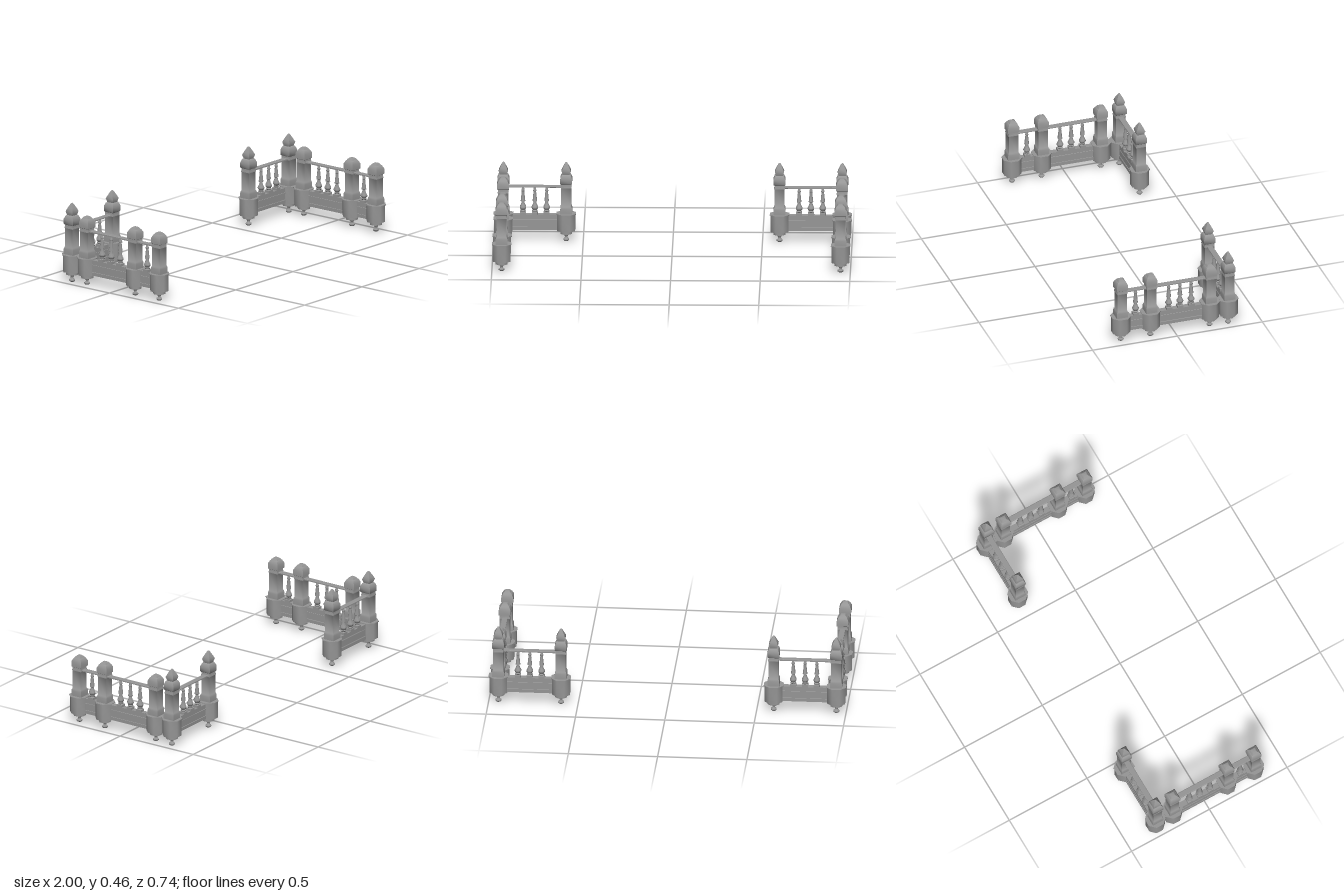
import * as THREE from 'three';
import { toCreasedNormals } from 'three/addons/utils/BufferGeometryUtils.js';

const material = new THREE.MeshStandardMaterial({ color: 0x969696, side: THREE.DoubleSide });

// Stacked polygon rings: profile is [half width across flats, height], bottom to top
function turned(name, profile, sides) {
  const k = 1 / Math.cos(Math.PI / sides);
  const points = profile.map(([r, y]) => new THREE.Vector2(r * k, y));
  const geometry = new THREE.LatheGeometry(points, sides, Math.PI / sides);
  const mesh = new THREE.Mesh(toCreasedNormals(geometry, 0.85), material);
  mesh.name = name;
  return mesh;
}

// Symmetric profile of [half thickness, height], run along local z
function moulding(name, profile, length) {
  const shape = new THREE.Shape([
    ...profile.map(([r, y]) => new THREE.Vector2(r, y)),
    ...profile.slice().reverse().map(([r, y]) => new THREE.Vector2(-r, y)),
  ]);
  const geometry = new THREE.ExtrudeGeometry(shape, { depth: length, bevelEnabled: false });
  geometry.translate(0, 0, -length / 2);
  const mesh = new THREE.Mesh(geometry, material);
  mesh.name = name;
  return mesh;
}

function makePost(pointed) {
  const post = new THREE.Group();
  post.name = pointed ? 'finialPost' : 'domedPost';
  const low = pointed ? 0 : 0.003;
  post.add(turned('dropKnob', [[0, low], [0.01, low], [0.016, low + 0.006], [0.016, low + 0.011],
    [0.008, 0.019], [0.007, 0.026], [0.014, 0.038], [0.015, 0.043]], 8));
  post.add(turned('footBlock', [[0, 0.042], [0.033, 0.042], [0.033, 0.062]], 8));
  post.add(turned('base', [[0, 0.06], [0.05, 0.06], [0.05, 0.155], [0.0545, 0.156],
    [0.0545, 0.16], [0, 0.16]], 8));
  // Square shaft with plinth and collar
  post.add(turned('shaft', [[0.033, 0.159], [0.033, 0.19], [0.03, 0.201], [0.028, 0.203],
    [0.028, 0.308], [0.0295, 0.31], [0.0295, 0.317], [0.028, 0.319], [0.028, 0.333]], 4));
  if (pointed) {
    post.add(turned('cap', [[0.028, 0.33], [0.033, 0.335], [0.033, 0.364], [0.026, 0.382],
      [0.022, 0.386], [0, 0.386]], 4));
    post.add(turned('finial', [[0.019, 0.385], [0.026, 0.407], [0.018, 0.426], [0.008, 0.446],
      [0.004, 0.453], [0, 0.456]], 4));
  } else {
    post.add(turned('cap', [[0.028, 0.33], [0.033, 0.333], [0.033, 0.364], [0.024, 0.382],
      [0.021, 0.384], [0.018, 0.39], [0.01, 0.397], [0, 0.399]], 4));
  }
  return post;
}

function makeBaluster() {
  const baluster = new THREE.Group();
  baluster.name = 'baluster';
  baluster.add(turned('balusterFoot', [[0.0165, 0.152], [0.0165, 0.167], [0.01, 0.171], [0, 0.171]], 4));
  baluster.add(turned('balusterStem', [[0.012, 0.169], [0.015, 0.175], [0.011, 0.179], [0.018, 0.19],
    [0.018, 0.196], [0.0115, 0.21], [0.008, 0.223], [0.008, 0.227], [0.013, 0.23], [0.012, 0.236],
    [0.007, 0.285], [0.0095, 0.29], [0.0075, 0.296], [0.006, 0.31], [0, 0.31]], 8));
  return baluster;
}

// Panel, handrail and balusters between two posts, centred on local z = 0
function makeSpan(name, distance, offsets) {
  const span = new THREE.Group();
  span.name = name;
  span.add(moulding('lowerPanel', [[0.018, 0.066], [0.018, 0.085], [0.015, 0.086], [0.015, 0.12],
    [0.018, 0.121], [0.018, 0.127], [0.016, 0.128], [0.016, 0.154]], distance - 0.07));
  span.add(moulding('handrail', [[0.013, 0.309], [0.013, 0.312], [0.016, 0.313], [0.016, 0.317],
    [0.013, 0.319]], distance - 0.05));
  for (const z of offsets) {
    const baluster = makeBaluster();
    baluster.position.z = z;
    span.add(baluster);
  }
  return span;
}

export function createModel() {
  const model = new THREE.Group();
  model.name = 'railings';
  const outer = 0.9455, inner = 0.595, backZ = -0.3165;
  const three = [-0.066, 0, 0.066];

  for (const side of [1, -1]) {
    const half = new THREE.Group();
    half.name = side > 0 ? 'leftRailing' : 'rightRailing';

    // Domed posts along the flank
    for (const z of [0.316, 0.142, -0.207]) {
      const post = makePost(false);
      post.position.set(side * outer, 0, z);
      half.add(post);
    }
    // Pointed posts along the back
    for (const x of [outer, inner]) {
      const post = makePost(true);
      post.position.set(side * x, 0, backZ);
      half.add(post);
    }

    const shortSpan = makeSpan('shortSpan', 0.174, [0]);
    shortSpan.position.set(side * outer, 0, 0.229);
    const longSpan = makeSpan('longSpan', 0.349, three);
    longSpan.position.set(side * outer, 0, -0.0325);
    const backSpan = makeSpan('backSpan', outer - inner, three);
    backSpan.position.set(side * (outer + inner) / 2, 0, backZ);
    backSpan.rotation.y = Math.PI / 2;
    half.add(shortSpan, longSpan, backSpan);
    model.add(half);
  }
  return model;
}
